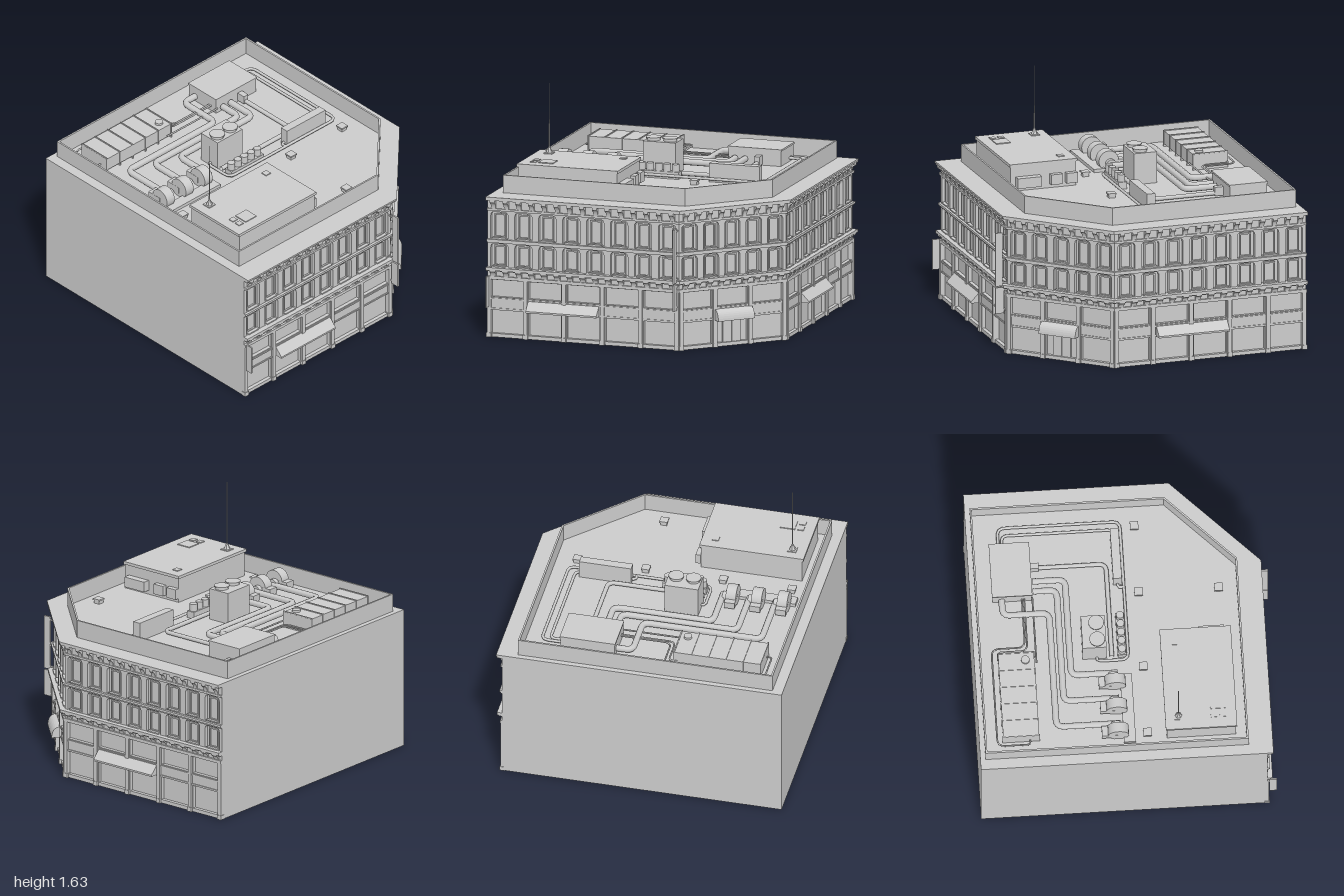
import * as THREE from 'three';

const mat = new THREE.MeshStandardMaterial({ color: 0xcccccc, flatShading: true });
const smooth = new THREE.MeshStandardMaterial({ color: 0xcccccc });

function add(parent, name, geo, x = 0, y = 0, z = 0, m = mat) {
  const mesh = new THREE.Mesh(geo, m);
  mesh.name = name;
  mesh.position.set(x, y, z);
  parent.add(mesh);
  return mesh;
}

// box given by its limits on each axis
function box(parent, name, x0, x1, y0, y1, z0, z1) {
  return add(parent, name, new THREE.BoxGeometry(x1 - x0, y1 - y0, z1 - z0), (x0 + x1) / 2, (y0 + y1) / 2, (z0 + z1) / 2);
}

function cyl(parent, name, x, y0, y1, z, r0, r1 = r0, n = 20) {
  return add(parent, name, new THREE.CylinderGeometry(r1, r0, y1 - y0, n), x, (y0 + y1) / 2, z, n > 8 ? smooth : mat);
}

// plan with one cut corner, pushed out by o on the three street sides
function plan(o) {
  const x = 0.925 + o, z = 0.915 + o, s = 1.28 + o * Math.SQRT2;
  return [[-0.99, -1], [-0.99, z], [s - z, z], [x, s - x], [x, -1]];
}

const toShape = pts => new THREE.Shape(pts.map(([x, z]) => new THREE.Vector2(x, -z)));

// horizontal slab extruded upward from a plan shape
function slab(parent, name, shape, y0, y1) {
  const g = new THREE.ExtrudeGeometry(shape, { depth: y1 - y0, bevelEnabled: false });
  g.rotateX(-Math.PI / 2);
  return add(parent, name, g, 0, y0, 0);
}

function rectPath(x0, x1, y0, y1) {
  return new THREE.Path([[x0, y0], [x1, y0], [x1, y1], [x0, y1]].map(p => new THREE.Vector2(...p)));
}

// opening with rounded upper corners
function archPath(x0, x1, y0, y1, r) {
  const p = new THREE.Path();
  p.moveTo(x0, y0).lineTo(x1, y0).lineTo(x1, y1 - r);
  p.quadraticCurveTo(x1, y1, x1 - r, y1).lineTo(x0 + r, y1);
  p.quadraticCurveTo(x0, y1, x0, y1 - r).lineTo(x0, y0);
  return p;
}

// side profile (outward, up) extruded along the wall, centred at u
function sideProfile(parent, name, shape, width, u, y) {
  const g = new THREE.ExtrudeGeometry(shape, { depth: width, bevelEnabled: false, curveSegments: 8 });
  g.rotateY(-Math.PI / 2);
  return add(parent, name, g, u + width / 2, y, 0);
}

function corbelShape(d, h) {
  const s = new THREE.Shape();
  s.moveTo(0, 0).lineTo(0.008, 0);
  s.quadraticCurveTo(0.012, h * 0.6, d, h * 0.7).lineTo(d, h).lineTo(0, h);
  return s;
}

// one street wall, u running along it and +z facing out
function facade(name, x, z, angle, L, bays, windows) {
  const g = new THREE.Group();
  g.name = name;
  g.position.set(x, 0, z);
  g.rotation.y = angle;
  const wall = new THREE.Shape([[0, 0], [L, 0], [L, 0.94], [0, 0.94]].map(p => new THREE.Vector2(...p)));
  const bay = L / bays, pitch = L / windows;
  for (let i = 0; i < bays; i++) {
    const a = i * bay + 0.02, b = (i + 1) * bay - 0.02;
    wall.holes.push(rectPath(a, b, 0.025, 0.185), rectPath(a, b, 0.275, 0.392));
  }
  for (let i = 0; i < windows; i++) {
    const c = (i + 0.5) * pitch, w = pitch * 0.36;
    for (const [y0, y1] of [[0.482, 0.638], [0.675, 0.855]]) {
      wall.holes.push(archPath(c - w, c + w, y0, y1, 0.025));
      // window frame standing in the recess
      const f = new THREE.Shape(rectPath(c - 0.04, c + 0.04, y0 + 0.004, y1 - 0.012).getPoints());
      f.holes.push(rectPath(c - 0.031, c + 0.031, y0 + 0.014, y1 - 0.022));
      add(g, 'windowFrame', new THREE.ExtrudeGeometry(f, { depth: 0.012, bevelEnabled: false }), 0, 0, -0.026);
      box(g, 'windowSill', c - 0.045, c + 0.045, y0, y0 + 0.008, -0.02, 0.008);
    }
  }
  add(g, 'wallFace', new THREE.ExtrudeGeometry(wall, { depth: 0.025, bevelEnabled: false, curveSegments: 4 }), 0, 0, -0.025);
  // ground floor piers and transom mouldings
  for (let i = 0; i <= bays; i++) {
    const u = Math.min(Math.max(i * bay, 0.014), L - 0.014);
    box(g, 'pier', u - 0.014, u + 0.014, 0, 0.4, -0.02, 0.012);
    box(g, 'pierBase', u - 0.017, u + 0.017, 0, 0.03, -0.02, 0.016);
  }
  box(g, 'transomTop', 0, L, 0.258, 0.268, -0.01, 0.006);
  box(g, 'transomBottom', 0, L, 0.19, 0.2, -0.01, 0.006);
  // corbels below both cornices
  const n = Math.round(L / 0.0885);
  const low = corbelShape(0.033, 0.045), high = corbelShape(0.036, 0.062);
  for (let i = 0; i < n; i++) {
    const u = (i + 0.5) * L / n;
    sideProfile(g, 'lowerCorbel', low, 0.038, u, 0.418);
    sideProfile(g, 'upperCorbel', high, 0.032, u, 0.88);
  }
  return g;
}

function awning(parent, u, len) {
  const s = new THREE.Shape([[0, 0], [0.06, 0], [0.06, 0.012], [0, 0.075]].map(p => new THREE.Vector2(...p)));
  sideProfile(parent, 'awning', s, len, u, 0.192);
}

// level pipe through plan points with rounded bends
function pipe(parent, name, y, r, pts) {
  const v = pts.map(([x, z]) => new THREE.Vector3(x, y, z));
  const path = new THREE.CurvePath();
  let from = v[0];
  for (let i = 1; i < v.length; i++) {
    if (i === v.length - 1) { path.add(new THREE.LineCurve3(from, v[i])); break; }
    const k = Math.min(0.05, v[i].distanceTo(v[i - 1]) * 0.45, v[i].distanceTo(v[i + 1]) * 0.45);
    const a = v[i].clone().add(v[i - 1].clone().sub(v[i]).setLength(k));
    const b = v[i].clone().add(v[i + 1].clone().sub(v[i]).setLength(k));
    path.add(new THREE.LineCurve3(from, a));
    path.add(new THREE.QuadraticBezierCurve3(a, v[i], b));
    from = b;
  }
  add(parent, name, new THREE.TubeGeometry(path, 80, r, 8), 0, 0, 0, smooth);
}

function buildRoof() {
  const g = new THREE.Group(), D = 0.96;
  g.name = 'roofEquipment';

  // penthouse with roof slab, hatches, wall units and mast
  box(g, 'penthouse', -0.84, -0.145, D, 1.132, 0.252, 0.715);
  box(g, 'penthouseRoof', -0.85, -0.137, 1.13, 1.15, 0.245, 0.722);
  for (const [x, z, s] of [[-0.23, 0.335, 0.022], [-0.755, 0.335, 0.03], [-0.76, 0.57, 0.02], [-0.76, 0.63, 0.02], [-0.67, 0.6, 0.05]])
    box(g, 'hatch', x - s, x + s, 1.15, 1.156, z - s, z + s);
  for (const [z0, z1, d] of [[0.25, 0.33, 0.035], [0.36, 0.44, 0.035], [0.51, 0.68, 0.05]])
    box(g, 'wallUnit', -0.145, -0.145 + d, 0.99, 1.06, z0, z1);
  cyl(g, 'mastBase', -0.755, 1.155, 1.2, 0.335, 0.024, 0.004, 6);
  cyl(g, 'mast', -0.755, 1.19, 1.63, 0.335, 0.004, 0.0025, 6);

  // long air handler with panel ribs
  box(g, 'airHandler', -0.81, -0.21, D + 0.02, 1.07, -0.84, -0.6);
  for (let i = 0; i <= 5; i++) {
    const x = -0.805 + i * 0.118;
    box(g, 'panelRib', x - 0.004, x + 0.004, D, 1.076, -0.844, -0.596);
  }
  cyl(g, 'handlerVent', -0.27, 1.07, 1.085, -0.66, 0.028);

  // plant box with ducts to three blowers
  box(g, 'plantBox', 0.19, 0.56, D, 1.07, -0.85, -0.59);
  box(g, 'plantBoxLid', 0.185, 0.565, 1.065, 1.077, -0.855, -0.585);
  box(g, 'blowerPlatform', -0.86, -0.375, D, 0.985, -0.035, 0.045);
  for (const x of [-0.79, -0.615, -0.44]) {
    cyl(g, 'blowerDrum', x, 0.99, 1.06, -0.07, 0.07).rotation.z = Math.PI / 2;
    box(g, 'blowerOutlet', x - 0.036, x + 0.036, 0.985, 1.03, -0.18, -0.07);
    cyl(g, 'blowerMotor', x + 0.045, 0.985, 1.025, -0.08, 0.035).rotation.z = Math.PI / 2;
  }
  pipe(g, 'duct', 1.0, 0.022, [[-0.73, -0.05], [-0.73, -0.48], [0.08, -0.48], [0.08, -0.79], [0.2, -0.79]]);
  pipe(g, 'duct', 1.0, 0.022, [[-0.55, -0.05], [-0.55, -0.42], [0.24, -0.42], [0.24, -0.58]]);
  pipe(g, 'duct', 1.0, 0.022, [[-0.37, -0.05], [-0.37, -0.36], [0.31, -0.36], [0.31, -0.58]]);

  // cooling tower, two fans and pump row
  box(g, 'coolingTower', -0.25, -0.02, D, 1.178, -0.275, -0.115);
  for (const x of [-0.195, -0.077]) {
    cyl(g, 'fanRing', x, 1.178, 1.193, -0.175, 0.046);
    cyl(g, 'fanCap', x, 1.193, 1.2, -0.175, 0.052);
  }
  box(g, 'pumpBase', -0.25, 0.05, D, 1.01, -0.04, 0.02);
  for (let i = 0; i < 5; i++) cyl(g, 'pump', -0.222 + i * 0.06, 1.01, 1.06, -0.01, 0.026, 0.026, 12);

  // louvre box and service pipes
  box(g, 'louvreBox', 0.265, 0.62, D, 1.09, -0.04, 0.018);
  pipe(g, 'servicePipe', 0.985, 0.01, [[0.56, -0.79], [0.705, -0.79], [0.705, 0.03], [-0.275, 0.03], [-0.275, -0.18], [-0.24, -0.18]]);
  pipe(g, 'servicePipe', 0.985, 0.01, [[0.56, -0.765], [0.65, -0.765], [0.65, -0.01], [0.24, -0.01], [0.24, 0.03]]);
  pipe(g, 'servicePipe', 0.985, 0.015, [[0.41, -0.59], [0.41, -0.08], [-0.25, -0.08]]);
  box(g, 'pipeCollar', 0.39, 0.43, 0.97, 1.03, -0.59, -0.53);
  pipe(g, 'thinPipe', 1.0, 0.006, [[-0.81, -0.66], [-0.845, -0.66], [-0.845, -0.88], [-0.155, -0.88], [-0.155, -0.655], [0.19, -0.655]]);
  pipe(g, 'thinPipe', 1.0, 0.006, [[-0.24, -0.84], [-0.18, -0.84], [-0.18, -0.64], [0.19, -0.64]]);
  pipe(g, 'thinPipe', 1.0, 0.006, [[-0.27, -0.585], [0.2, -0.585]]);

  // small roof vents
  for (const [x, z] of [[-0.8, 0.125], [-0.33, 0.125], [0.2, 0.125], [0.67, 0.125], [0.2, 0.66]]) {
    box(g, 'roofVent', x - 0.022, x + 0.022, D, 0.985, z - 0.022, z + 0.022);
    box(g, 'roofVentCap', x - 0.028, x + 0.028, 0.985, 0.995, z - 0.028, z + 0.028);
  }
  return g;
}

export function createModel() {
  const model = new THREE.Group();
  model.name = 'cornerBuilding';

  slab(model, 'body', toShape(plan(-0.025)), 0, 0.95);
  for (const [name, y0, y1, o] of [
    ['shopCornice', 0.396, 0.418, 0.014], ['lowerCornice', 0.46, 0.48, 0.036], ['lowerCorniceBed', 0.452, 0.46, 0.024],
    ['sillCourse', 0.645, 0.655, 0.01], ['sillCourseTop', 0.655, 0.67, 0.018],
    ['frieze', 0.865, 0.88, 0.012], ['upperCornice', 0.938, 0.95, 0.036], ['roofDeck', 0.95, 0.962, 0.042],
  ]) slab(model, name, toShape(plan(o)), y0, y1);

  // street walls
  const front = facade('frontWall', -0.99, 0.915, 0, 1.355, 5, 8);
  const corner = facade('cornerWall', 0.365, 0.915, Math.PI / 4, 0.56 * Math.SQRT2, 3, 5);
  const side = facade('sideWall', 0.925, 0.355, Math.PI / 2, 1.355, 5, 8);
  model.add(front, corner, side);
  awning(front, 0.54, 0.5);
  awning(side, 0.545, 0.5);

  // rounded canopy over the corner door
  const hood = new THREE.Shape();
  hood.moveTo(0, 0).lineTo(0.065, 0).quadraticCurveTo(0.062, 0.075, 0, 0.075);
  sideProfile(corner, 'doorCanopy', hood, 0.27, 0.396, 0.185);
  box(corner, 'doorLeaf', 0.33, 0.394, 0.01, 0.185, -0.026, -0.012);
  box(corner, 'doorLeaf', 0.398, 0.462, 0.01, 0.185, -0.026, -0.012);

  // projecting blade panels with brackets
  box(model, 'bladePanel', 0.348, 0.36, 0.47, 0.84, 0.95, 1.0);
  box(model, 'bladePanelLower', 0.348, 0.36, 0.28, 0.46, 0.94, 1.0);
  for (const y of [0.3, 0.44, 0.49, 0.655, 0.82]) box(model, 'bladeBracket', 0.35, 0.358, y - 0.005, y + 0.005, 0.9, 0.955);
  box(model, 'smallBladePanel', -0.982, -0.972, 0.21, 0.42, 0.93, 0.98);

  // parapet ring
  const ring = (i, s) => [[-0.92 + i, -0.965 + i], [-0.92 + i, 0.795 - i], [s - 0.795 + i, 0.795 - i], [0.825 - i, s - 0.825 + i], [0.825 - i, -0.965 + i]];
  const parapet = toShape(ring(0, 1.16));
  parapet.holes.push(toShape(ring(0.012, 1.16 - 0.012 * Math.SQRT2)));
  slab(model, 'parapet', parapet, 0.955, 1.083);

  model.add(buildRoof());
  return model;
}
